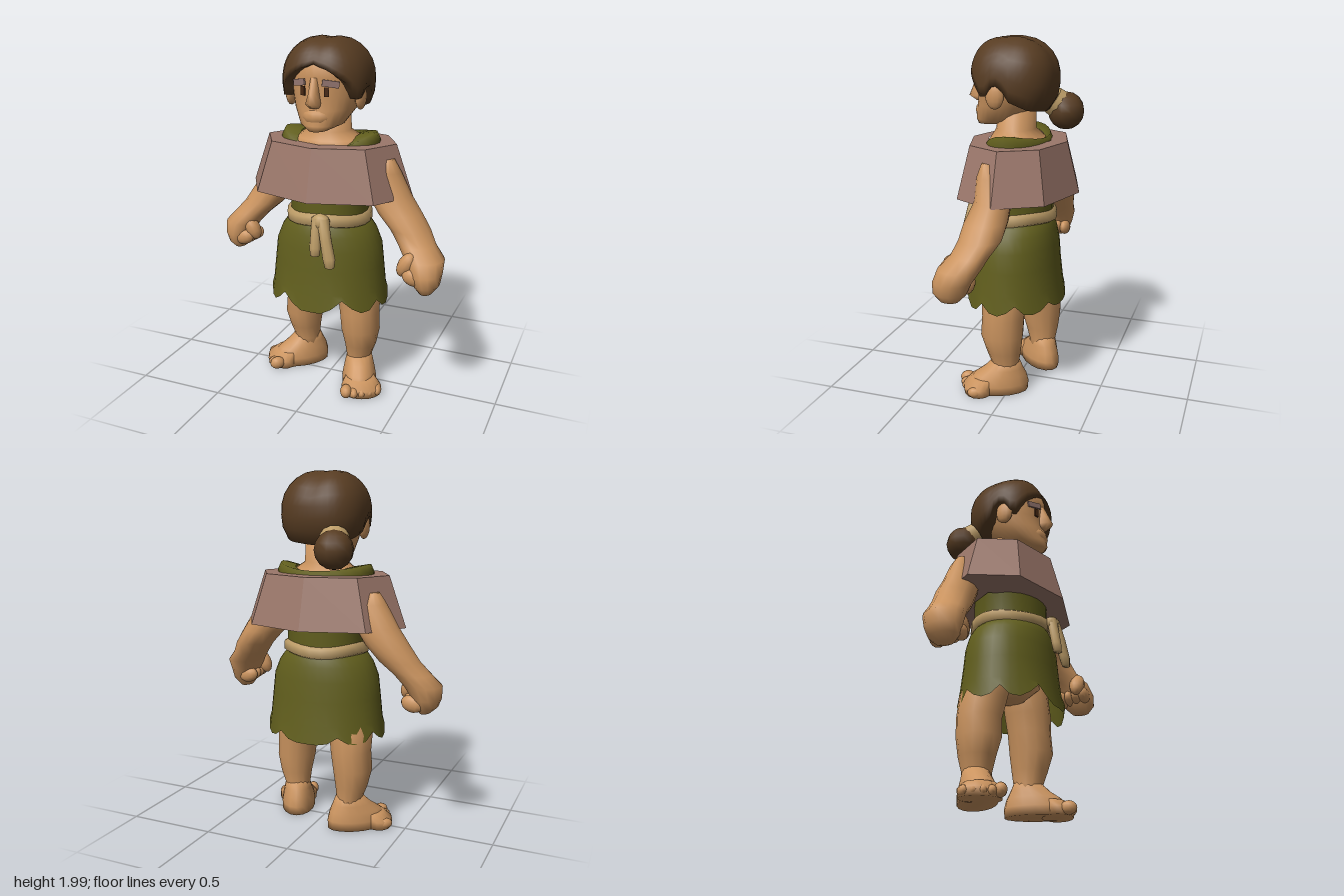
import * as THREE from 'three';

const paint = (name, color, side = THREE.FrontSide) => {
  const m = new THREE.MeshStandardMaterial({ color, side });
  m.name = name;
  return m;
};

// Grid of points closed around the y axis; fn(row, angle, column) gives [x, y, z]
function wrap(rows, cols, fn) {
  const pos = [], idx = [];
  for (let r = 0; r < rows; r++)
    for (let c = 0; c < cols; c++) pos.push(...fn(r, (c / cols) * Math.PI * 2, c));
  for (let r = 0; r < rows - 1; r++)
    for (let c = 0; c < cols; c++) {
      const a = r * cols + c, b = r * cols + (c + 1) % cols;
      idx.push(a, b, a + cols, b, b + cols, a + cols);
    }
  const g = new THREE.BufferGeometry();
  g.setAttribute('position', new THREE.Float32BufferAttribute(pos, 3));
  g.setIndex(idx);
  g.computeVertexNormals();
  return g;
}

// Rings [y, x, z, rx, rz, lift(angle, column)] listed from bottom to top
function loft(rings, cols = 14, capped = true) {
  const list = rings.slice();
  if (capped) {
    const a = list[0], b = list[list.length - 1];
    list.unshift([a[0], a[1], a[2], 0, 0]);
    list.push([b[0], b[1], b[2], 0, 0]);
  }
  return wrap(list.length, cols, (r, a, c) => {
    const [y, x, z, rx, rz, lift] = list[r];
    return [x + rx * Math.sin(a), y + (lift ? lift(a, c) : 0), z + rz * Math.cos(a)];
  });
}

// Straight-line interpolation through [key, value] pairs
function curve(points, k) {
  for (let i = 1; i < points.length; i++) {
    const [k0, v0] = points[i - 1], [k1, v1] = points[i];
    if (k <= k1) return v0 + ((v1 - v0) * (k - k0)) / (k1 - k0);
  }
  return points[points.length - 1][1];
}

export function createModel() {
  const skin = paint('skin', 0xcb945f);
  const hair = paint('hair', 0x573c22, THREE.DoubleSide);
  const cloth = paint('green cloth', 0x615e1d, THREE.DoubleSide);
  const rope = paint('rope', 0xbc9c67);
  const wood = paint('collar wood', 0x9b776a);
  const brow = paint('brow', 0x967872);
  const eye = paint('eye', 0x4a2a14);

  const model = new THREE.Group();
  const add = (name, geometry, material, parent = model) => {
    const m = new THREE.Mesh(geometry, material);
    m.name = name;
    parent.add(m);
    return m;
  };
  const ball = (name, material, p, s, parent = model) => {
    const m = add(name, new THREE.SphereGeometry(1, 12, 8), material, parent);
    m.position.set(...p);
    m.scale.set(...s);
    return m;
  };

  // Tunic: bodice with shoulder straps and scooped neckline, skirt with ragged hem
  const strap = (a) => 0.085 * Math.sin(a) ** 2 + (Math.cos(a) < 0 ? 0.05 * Math.cos(a) ** 2 : 0);
  add('bodice', loft([
    [0.96, 0, 0.015, 0.22, 0.2], [1.15, 0, 0.015, 0.225, 0.205], [1.3, 0, 0.01, 0.27, 0.2],
    [1.37, 0, 0.005, 0.285, 0.18, strap], [1.412, 0, 0.005, 0.265, 0.165, strap], [1.395, 0, 0, 0.17, 0.135, strap],
  ], 24, false), cloth);
  const rags = [-0.01, -0.01, 0.02, 0.07, 0.02, -0.01, -0.005, 0.045, 0, -0.01,
    0.01, 0.05, 0, -0.01, 0, 0.035, 0, -0.01, -0.01];
  add('skirt', loft([
    [0.525, 0, 0.02, 0.345, 0.28, (a, c) => rags[Math.min(c, 36 - c)]], [0.62, 0, 0.02, 0.333, 0.265],
    [0.75, 0, 0.02, 0.32, 0.25], [0.86, 0, 0.02, 0.308, 0.242], [0.94, 0, 0.02, 0.275, 0.228],
    [0.98, 0, 0.02, 0.245, 0.215], [1.0, 0, 0.02, 0.222, 0.205],
  ], 36, false), cloth);
  add('hips', loft([[0.6, 0, 0, 0.06, 0.1], [0.68, 0, 0, 0.22, 0.16], [0.9, 0, 0, 0.2, 0.16]]), skin);

  // Rope belt with knot and two hanging tails
  const sag = (a) => 0.008 * Math.sin(3 * a + 1);
  add('belt', loft([
    [0.985, 0, 0.018, 0.22, 0.2, sag], [1.0, 0, 0.018, 0.243, 0.226, sag],
    [1.045, 0, 0.018, 0.243, 0.226, sag], [1.06, 0, 0.018, 0.22, 0.2, sag],
  ], 24, false), rope);
  ball('knot', rope, [0.045, 1.035, 0.255], [0.055, 0.048, 0.04]);
  add('beltTail', loft([[0.855, 0.025, 0.29, 0.028, 0.024], [0.9, 0.025, 0.285, 0.033, 0.028], [1.06, 0.025, 0.26, 0.03, 0.03]], 8), rope);
  add('beltTail', loft([[0.8, 0.115, 0.3, 0.028, 0.022], [0.85, 0.11, 0.295, 0.038, 0.03],
    [0.95, 0.085, 0.28, 0.034, 0.032], [1.06, 0.06, 0.26, 0.035, 0.03]], 8), rope);

  // Eight-sided collar with flat faces, closed up to the tunic above and below
  const profile = [[0.25, 1.16], [0.48, 1.16], [0.38, 1.44], [0.25, 1.44]];
  let collar = new THREE.LatheGeometry(profile.map(([x, y]) => new THREE.Vector2(x, y)), 8);
  collar.scale(1, 1, 0.715);
  collar = collar.toNonIndexed();
  collar.computeVertexNormals();
  add('collar', collar, wood);

  // Neck and head
  add('neck', loft([
    [1.3, 0, 0.01, 0.24, 0.17], [1.42, 0, 0.01, 0.24, 0.17], [1.455, 0, 0.01, 0.19, 0.145],
    [1.5, 0, 0.02, 0.125, 0.11], [1.62, 0, 0.01, 0.115, 0.1],
  ], 18), skin);
  add('head', loft([
    [1.52, 0, 0.17, 0.05, 0.07], [1.55, 0, 0.115, 0.115, 0.132], [1.63, 0, 0.06, 0.165, 0.175],
    [1.7, 0, 0.045, 0.185, 0.18], [1.8, 0, 0.04, 0.2, 0.193], [1.88, 0, 0.05, 0.17, 0.175],
    [1.92, 0, 0.05, 0.1, 0.1],
  ], 28), skin);
  add('nose', loft([
    [1.645, 0, 0.22, 0.03, 0.03], [1.67, 0, 0.235, 0.04, 0.06], [1.72, 0, 0.225, 0.028, 0.048],
    [1.8, 0, 0.22, 0.022, 0.02],
  ], 8), skin);
  ball('muzzle', skin, [0, 1.595, 0.195], [0.08, 0.055, 0.055]);
  for (const s of [-1, 1]) {
    const e = add('eye', new THREE.BoxGeometry(0.026, 0.048, 0.009), eye);
    e.position.set(s * 0.066, 1.73, 0.219);
    e.rotation.y = s * 0.38;
    const b = add('eyebrow', new THREE.BoxGeometry(0.09, 0.034, 0.009), brow);
    b.position.set(s * 0.088, 1.772, 0.216);
    b.rotation.set(0, s * 0.48, -s * 0.15);
    ball('ear', skin, [s * 0.2, 1.695, 0.075], [0.028, 0.07, 0.052]);
  }

  // Hair shell: the hairline height depends on the angle from the front
  const hairline = [[0, 1.885], [0.3, 1.85], [0.7, 1.785], [0.95, 1.71], [1.08, 1.66], [1.22, 1.74],
    [1.5, 1.755], [1.7, 1.67], [2.2, 1.62], [3.15, 1.6]];
  const rows = 10;
  add('hair', wrap(rows + 1, 44, (r, a) => {
    const end = curve(hairline, Math.min(a, Math.PI * 2 - a));
    const t = Math.min(r, rows - 1) / (rows - 1);
    const y = 2.005 - (2.005 - end) * (1 - Math.cos((t * Math.PI) / 2));
    const power = y > 1.78 ? 2.1 : 2.7;
    let k = Math.pow(Math.max(0, 1 - Math.pow(Math.abs(y - 1.78) / 0.225, power)), 1 / power);
    if (r === rows) k *= 0.6;
    const sx = Math.sin(a), cz = Math.cos(a);
    // squarer than an ellipse when seen from above, fuller at the brow
    const square = Math.pow(Math.abs(sx) ** 2.5 + Math.abs(cz) ** 2.5, -1 / 2.5);
    const brim = cz > 0 ? Math.pow(k, 0.7) : k;
    const x = 0.24 * k * square * sx;
    const part = y > 1.85 ? 0.014 * Math.exp(-x * x / 0.003) : 0;
    return [x, y - part, 0.022 + 0.234 * brim * square * cz];
  }), hair);
  ball('bun', hair, [-0.15, 1.585, -0.222], [0.107, 0.105, 0.103]);
  const tie = add('hairTie', new THREE.CylinderGeometry(0.08, 0.085, 0.055, 12), rope);
  tie.position.set(-0.13, 1.63, -0.17);
  tie.rotation.set(0.9, 0, -0.35);

  // Arms run down into loosely closed fists
  const arms = {
    leftArm: [[0.695, 0.62, 0.18, 0.035, 0.05], [0.74, 0.62, 0.175, 0.07, 0.09], [0.8, 0.61, 0.165, 0.09, 0.105],
      [0.87, 0.59, 0.13, 0.11, 0.115], [0.93, 0.535, 0.09, 0.105, 0.105], [1.0, 0.485, 0.055, 0.112, 0.115],
      [1.08, 0.42, 0.045, 0.125, 0.115], [1.18, 0.35, 0.03, 0.125, 0.095], [1.3, 0.34, 0.05, 0.085, 0.07],
      [1.37, 0.36, 0.06, 0.03, 0.03]],
    rightArm: [[0.715, -0.61, -0.04, 0.03, 0.05], [0.75, -0.62, -0.045, 0.06, 0.085], [0.8, -0.62, -0.05, 0.08, 0.1],
      [0.87, -0.6, -0.06, 0.105, 0.11], [0.93, -0.545, -0.075, 0.105, 0.1], [1.0, -0.475, -0.095, 0.115, 0.1],
      [1.08, -0.415, -0.11, 0.125, 0.1], [1.18, -0.35, -0.115, 0.125, 0.09], [1.3, -0.33, -0.12, 0.08, 0.065],
      [1.36, -0.34, -0.12, 0.03, 0.03]],
  };
  for (const [name, rings] of Object.entries(arms)) {
    const s = Math.sign(rings[0][1]), [, , hz] = rings[2];
    add(name, loft(rings), skin);
    for (let i = 0; i < 4; i++) {
      const f = ball('finger', skin, [s * 0.56, 0.775 + i * 0.004, hz - 0.07 + i * 0.045], [0.062, 0.045, 0.032]);
      f.rotation.z = s * -0.3;
    }
    const thumb = ball('thumb', skin, [s * 0.515, 0.845, hz + 0.04], [0.045, 0.075, 0.045]);
    thumb.rotation.z = s * -0.5;
  }

  // Legs and bare feet; the right one stands further back and turns out more
  for (const [side, s, dz, yaw] of [['left', 1, 0, 0.36], ['right', -1, -0.11, -0.85]]) {
    add(side + 'Leg', loft([
      [0.08, s * 0.185, 0.02 + dz, 0.07, 0.078], [0.17, s * 0.19, 0.025 + dz, 0.073, 0.08],
      [0.25, s * 0.2, 0.03 + dz, 0.092, 0.1], [0.35, s * 0.202, 0.04 + dz, 0.112, 0.122],
      [0.46, s * 0.192, 0.035 + dz, 0.116, 0.122], [0.56, s * 0.185, 0.03 + dz * 0.8, 0.125, 0.13],
      [0.8, s * 0.14, 0.02 + dz * 0.4, 0.125, 0.13],
    ]), skin);
    const foot = new THREE.Group();
    foot.name = side + 'Foot';
    foot.position.set(s * 0.19, 0, 0.02 + dz);
    foot.rotation.y = yaw;
    model.add(foot);
    add('heel', loft([
      [0, 0, 0.05, 0.098, 0.175], [0.05, 0, 0.05, 0.1, 0.178], [0.1, 0, 0.035, 0.09, 0.15],
      [0.14, 0, 0.015, 0.08, 0.11], [0.19, 0, 0, 0.068, 0.074],
    ], 16), skin, foot);
    add('ballOfFoot', loft([
      [0, s * 0.012, 0.16, 0.112, 0.085], [0.045, s * 0.012, 0.16, 0.114, 0.088], [0.085, s * 0.005, 0.13, 0.085, 0.075],
    ], 16), skin, foot);
    for (let i = 0; i < 5; i++) {
      const big = i === 0 ? 1.25 : 1;
      ball('toe', skin, [s * (i * 0.044 - 0.075), 0.03 * big, 0.222 - i * i * 0.0025],
        [0.027 * big, 0.03 * big, 0.045], foot);
    }
  }
  return model;
}
